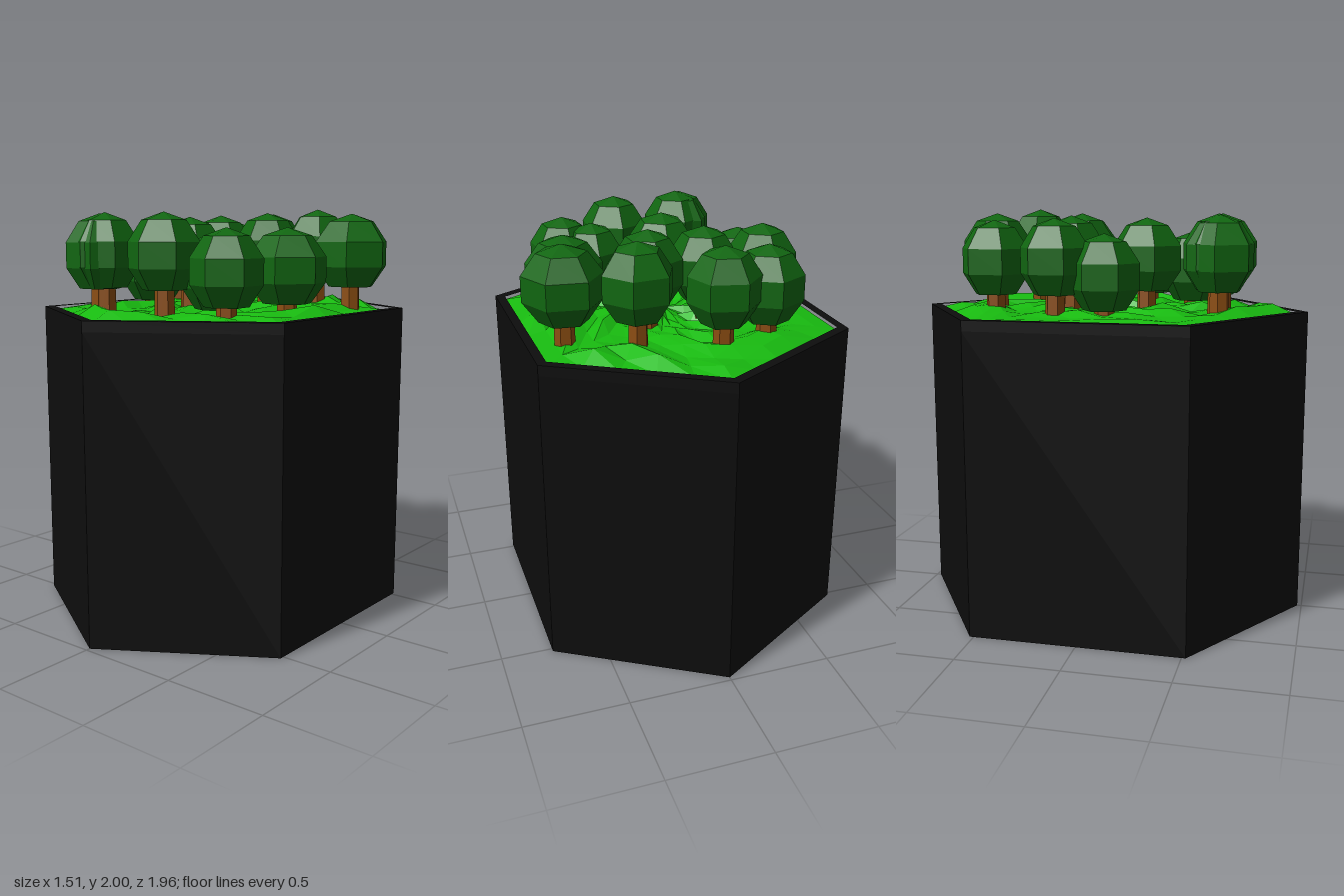
import * as THREE from 'three';

const HEX = [[0, 1], [1, 0.53], [1, -0.53], [0, -1], [-1, -0.53], [-1, 0.53]];
const BASE = 1.51;

const material = (color, extra = {}) =>
  new THREE.MeshStandardMaterial({ color, flatShading: true, ...extra });

function hexPoints(halfX, halfZ) {
  return HEX.map(([x, z]) => new THREE.Vector2(x * halfX, z * halfZ));
}

// Upright hexagonal prism between two heights, optionally hollow
function hexPrism(y0, y1, hole) {
  const shape = new THREE.Shape(hexPoints(0.75, 0.98));
  if (hole) shape.holes.push(new THREE.Path(hole));
  const geo = new THREE.ExtrudeGeometry(shape, { depth: y1 - y0, bevelEnabled: false });
  return geo.rotateX(-Math.PI / 2).translate(0, y0, 0);
}

// Small seeded random generator
function seeded(seed) {
  return () => {
    seed = (seed * 16807) % 2147483647;
    return seed / 2147483647;
  };
}

// Bumpy ground made of concentric hexagonal rings
function groundGeometry() {
  const rings = 8, perSide = 5, count = 6 * perSide;
  const random = seeded(77);
  const corners = hexPoints(0.706, 0.924);
  const pos = [0, 1.535, 0], index = [];
  for (let r = 1; r <= rings; r++) {
    for (let i = 0; i < count; i++) {
      const side = Math.floor(i / perSide);
      const p = corners[side].clone().lerp(corners[(side + 1) % 6], (i % perSide) / perSide);
      const t = r / rings;
      const bump = Math.pow(random(), 2) * 0.05;
      const y = r === rings ? 1.495 : 1.505 + bump;
      pos.push(p.x * t, y, p.y * t);
    }
  }
  const at = (r, i) => 1 + (r - 1) * count + (i % count);
  for (let i = 0; i < count; i++) {
    index.push(0, at(1, i), at(1, i + 1));
    for (let r = 1; r < rings; r++) {
      index.push(at(r, i), at(r + 1, i), at(r + 1, i + 1));
      index.push(at(r, i), at(r + 1, i + 1), at(r, i + 1));
    }
  }
  const geo = new THREE.BufferGeometry();
  geo.setAttribute('position', new THREE.Float32BufferAttribute(pos, 3));
  geo.setIndex(index);
  geo.computeVertexNormals();
  return geo;
}

// Trees: x, z, top height, canopy radius, turn
const TREES = [
  [-0.33, -0.50, 1.95, 0.167, 0.0],
  [-0.09, -0.57, 1.98, 0.168, 0.3],
  [0.275, -0.455, 2.0, 0.17, -0.4],
  [0.575, -0.30, 1.975, 0.187, 0.42],
  [-0.44, -0.17, 1.96, 0.167, 0.0],
  [-0.14, -0.17, 1.97, 0.167, 0.0],
  [0.145, -0.19, 1.98, 0.167, 0.05],
  [-0.41, 0.06, 1.89, 0.167, 0.1],
  [-0.05, 0.19, 1.96, 0.175, -0.12],
  [0.475, 0.105, 1.91, 0.188, 0.3],
  [0.265, 0.375, 1.89, 0.165, 0.0],
  [0.395, 0.465, 1.91, 0.168, 0.08],
  [0.095, 0.545, 1.98, 0.17, 0.0],
  [-0.255, 0.57, 1.98, 0.165, 0.0],
  [-0.28, 0.58, 1.975, 0.165, 0.5],
];

export function createModel() {
  const model = new THREE.Group();
  const add = (parent, name, geo, mat) => {
    const mesh = new THREE.Mesh(geo, mat);
    mesh.name = name;
    parent.add(mesh);
    return mesh;
  };

  // Dark hexagonal planter with a low rim
  const black = material(0x0d0d0d);
  add(model, 'planterBody', hexPrism(0, 1.46), black);
  add(model, 'planterRim', hexPrism(1.46, BASE, hexPoints(0.705, 0.923)), black);

  // Grass inside the rim
  add(model, 'grass', groundGeometry(), material(0x18bb10, { side: THREE.DoubleSide }));

  // Faceted canopy of unit radius with a flat underside, apex at y = 0
  const profile = [[0, -0.353], [0.618, -0.353], [1, -0.255], [1, -0.135], [0.618, -0.037], [0, 0]];
  const canopy = new THREE.LatheGeometry(profile.map(([r, y]) => new THREE.Vector2(r, y)), 6);
  const leaves = material(0x116611);
  const bark = material(0x8b4d12);

  TREES.forEach(([x, z, top, radius, turn]) => {
    const tree = new THREE.Group();
    tree.name = 'tree';
    tree.position.set(x, 0, z);
    tree.rotation.y = turn;
    const crown = add(tree, 'canopy', canopy, leaves);
    crown.position.y = top;
    crown.scale.set(radius, 1, radius);
    const height = top - 0.3 - 1.46;
    const trunk = add(tree, 'trunk', new THREE.CylinderGeometry(0.045, 0.05, height, 6), bark);
    trunk.position.y = 1.46 + height / 2;
    model.add(tree);
  });

  return model;
}
